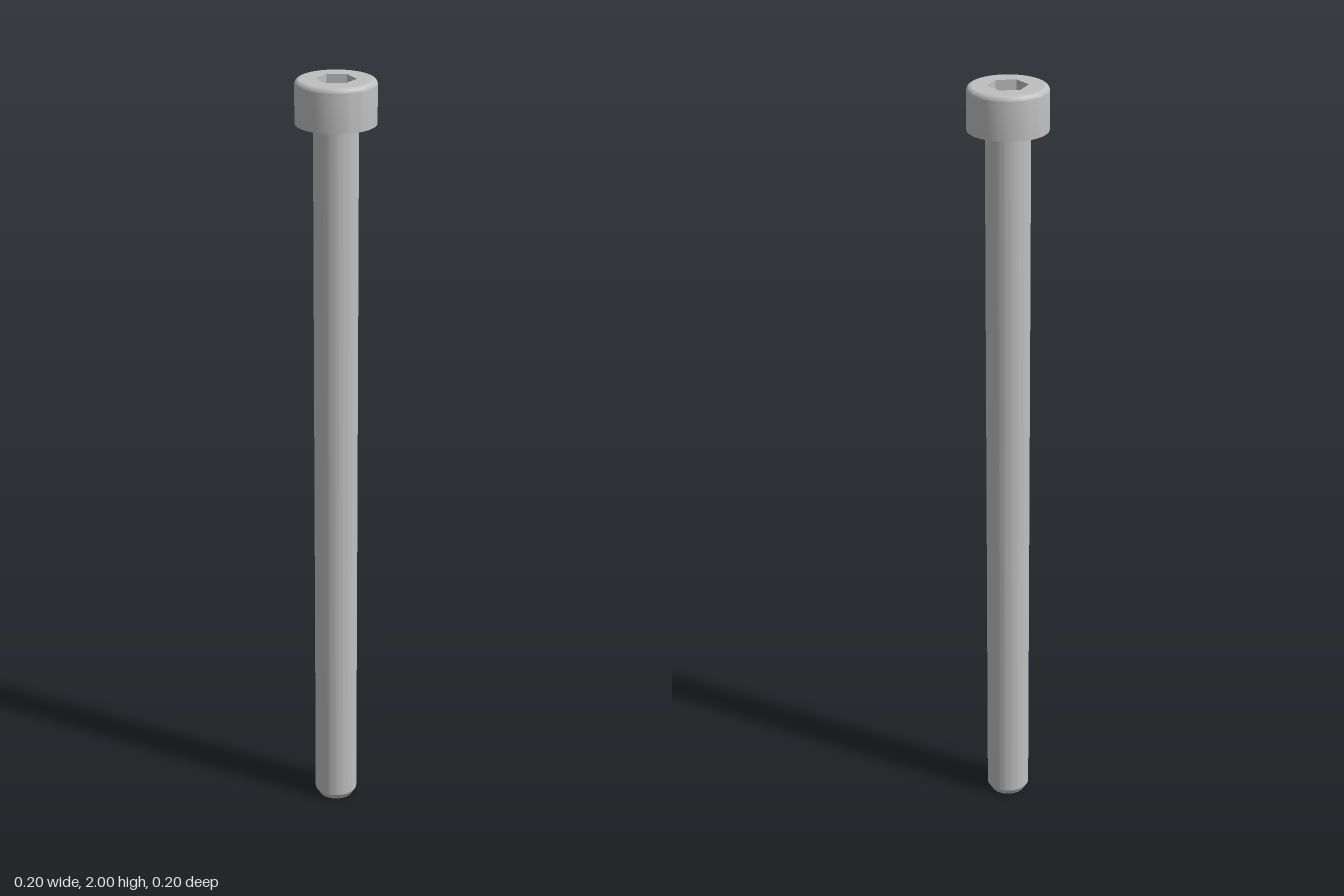
import * as THREE from 'three';
import { toCreasedNormals } from 'three/addons/utils/BufferGeometryUtils.js';

const SEGMENTS = 64;
const HEAD_R = 0.101, HEAD_BOTTOM = 1.89, TOP = 2, FILLET = 0.013;
const SHANK_R = 0.056, TIP_R = 0.045, TIP_H = 0.018;
const SOCKET_R = 0.0505, SOCKET_FLOOR = 1.948, SOCKET_POINT = 1.925;

// Lathe from [radius, y] pairs with sharp edges kept above the crease angle
function turned(points, segments, crease) {
  const profile = points.map(([r, y]) => new THREE.Vector2(r, y));
  return toCreasedNormals(new THREE.LatheGeometry(profile, segments), crease);
}

export function createModel() {
  const model = new THREE.Group();
  model.name = 'socketHeadBolt';
  const steel = new THREE.MeshStandardMaterial({ color: 0xbfbfbf });
  steel.name = 'steel';

  const add = (name, geometry) => {
    const mesh = new THREE.Mesh(geometry, steel);
    mesh.name = name;
    model.add(mesh);
  };

  // Shank with a chamfered tip
  add('shank', turned(
    [[0, 0], [TIP_R, 0], [SHANK_R, TIP_H], [SHANK_R, HEAD_BOTTOM]], SEGMENTS, 0.5));

  // Head: flat underside, straight wall, rounded top edge
  const headProfile = [[SHANK_R, HEAD_BOTTOM], [HEAD_R, HEAD_BOTTOM]];
  for (let i = 0; i <= 6; i++) {
    const a = (i / 6) * Math.PI / 2;
    headProfile.push([
      HEAD_R - FILLET + FILLET * Math.cos(a),
      TOP - FILLET + FILLET * Math.sin(a),
    ]);
  }
  add('head', turned(headProfile, SEGMENTS, 0.5));

  // Head top face with a hexagonal opening
  const face = new THREE.Shape().absarc(0, 0, HEAD_R - FILLET, 0, Math.PI * 2);
  const hexagon = [];
  for (let i = 0; i < 6; i++) {
    const a = i * Math.PI / 3;
    hexagon.push(new THREE.Vector2(SOCKET_R * Math.sin(a), SOCKET_R * Math.cos(a)));
  }
  face.holes.push(new THREE.Path(hexagon));
  const faceGeometry = new THREE.ShapeGeometry(face, SEGMENTS / 2);
  faceGeometry.rotateX(-Math.PI / 2).translate(0, TOP, 0);
  add('headTop', faceGeometry);

  // Hex socket: six upright walls and a shallow six-sided pointed floor
  add('hexSocket', turned(
    [[SOCKET_R, TOP], [SOCKET_R, SOCKET_FLOOR], [0, SOCKET_POINT]], 6, 0.1));

  return model;
}
